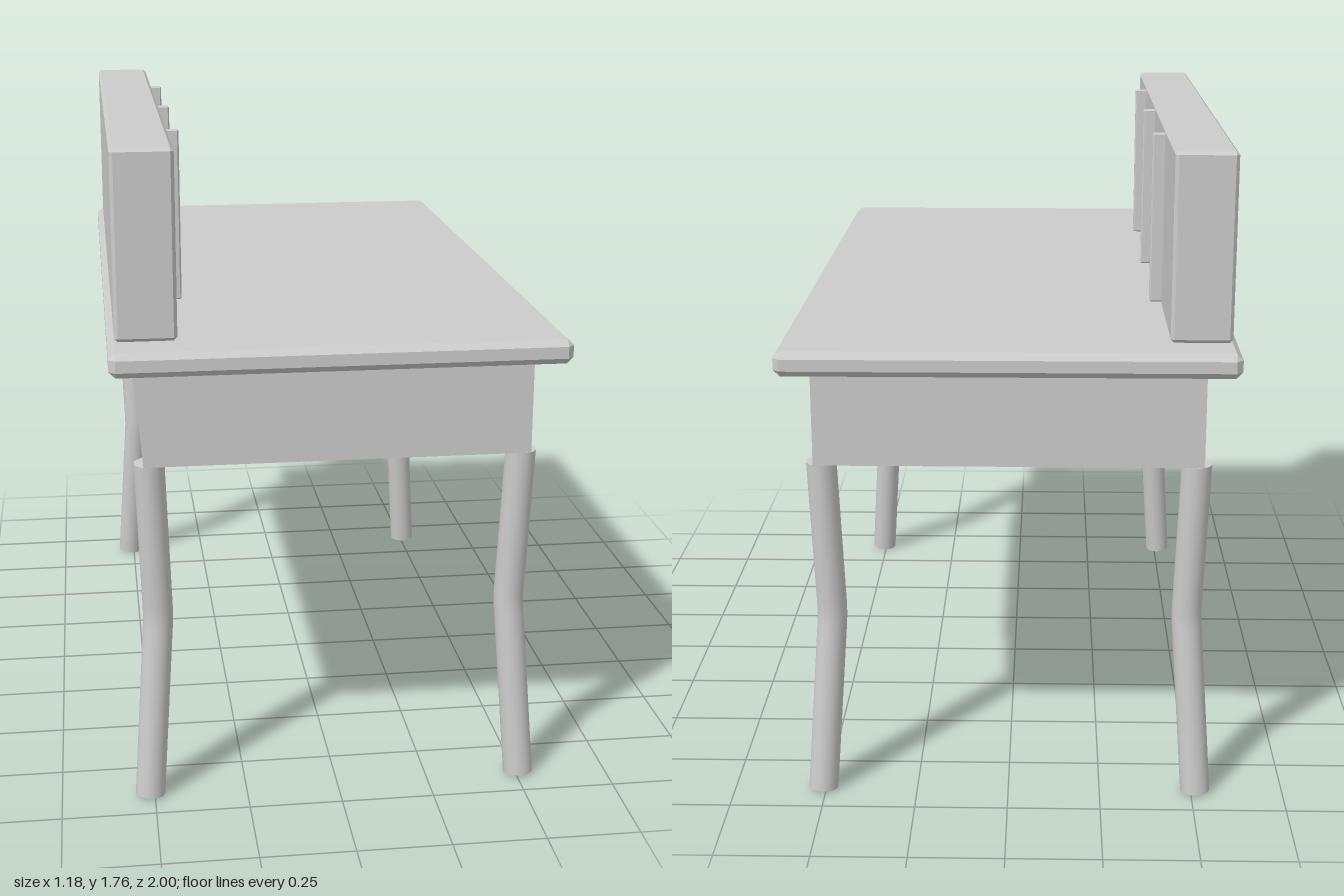
import * as THREE from 'three';
import { ConvexGeometry } from 'three/addons/geometries/ConvexGeometry.js';

// Box given by its limits, with every edge and corner chamfered by c.
function chamferBox([x0, x1], [y0, y1], [z0, z1], c) {
  const points = [];
  for (const [x, dx] of [[x0, c], [x1, -c]])
    for (const [y, dy] of [[y0, c], [y1, -c]])
      for (const [z, dz] of [[z0, c], [z1, -c]])
        points.push(
          new THREE.Vector3(x, y + dy, z + dz),
          new THREE.Vector3(x + dx, y, z + dz),
          new THREE.Vector3(x + dx, y + dy, z)
        );
  return new ConvexGeometry(points);
}

export function createModel() {
  const desk = new THREE.Group();
  desk.name = 'desk';
  const grey = new THREE.MeshStandardMaterial({ color: 0xcccccc });
  grey.name = 'grey';

  const add = (name, geometry, parent = desk) => {
    const mesh = new THREE.Mesh(geometry, grey);
    mesh.name = name;
    parent.add(mesh);
    return mesh;
  };

  // Desktop slab and the case under it
  add('desktop', chamferBox([-0.591, 0.588], [1.203, 1.268], [-1, 1], 0.017));
  add('case', new THREE.BoxGeometry(1.014, 0.262, 1.84)).position.set(-0.002, 1.076, 0);

  // Drawer front and knob
  add('drawerFront', chamferBox([0.495, 0.53], [0.957, 1.156], [-0.577, 0.577], 0.01));
  add('drawerKnob', new THREE.SphereGeometry(0.03, 32, 20)).position.set(0.538, 1.058, 0);

  // Raised shelf box along the back with three upright strips
  add('shelfBox', chamferBox([-0.573, -0.414], [1.272, 1.76], [-0.902, 0.902], 0.009));
  for (const z of [-0.493, 0, 0.493])
    add('divider', chamferBox([-0.43, -0.38], [1.284, 1.748], [z - 0.009, z + 0.009], 0.004));

  // Bent legs: two straight runs joined by a tight bend, capped at both ends
  const radius = 0.04;
  for (const sx of [-1, 1])
    for (const sz of [-1, 1]) {
      const at = (x, y, z) => new THREE.Vector3(sx * x - 0.002, y, sz * z);
      const top = at(0.491, 0.943, 0.871);
      const knee = at(0.476, 0.505, 0.853);
      const foot = at(0.51, 0.005, 0.897);
      const above = knee.clone().lerp(top, 0.07);
      const below = knee.clone().lerp(foot, 0.06);
      const path = new THREE.CurvePath();
      path.add(new THREE.LineCurve3(foot, below));
      path.add(new THREE.QuadraticBezierCurve3(below, knee, above));
      path.add(new THREE.LineCurve3(above, top));

      const leg = new THREE.Group();
      leg.name = 'leg';
      desk.add(leg);
      add('legShaft', new THREE.TubeGeometry(path, 48, radius, 24, false), leg);
      for (const [end, inner] of [[foot, below], [top, above]]) {
        const cap = add('legCap', new THREE.CircleGeometry(radius, 24), leg);
        cap.position.copy(end);
        cap.quaternion.setFromUnitVectors(
          new THREE.Vector3(0, 0, 1), end.clone().sub(inner).normalize());
      }
    }

  return desk;
}
